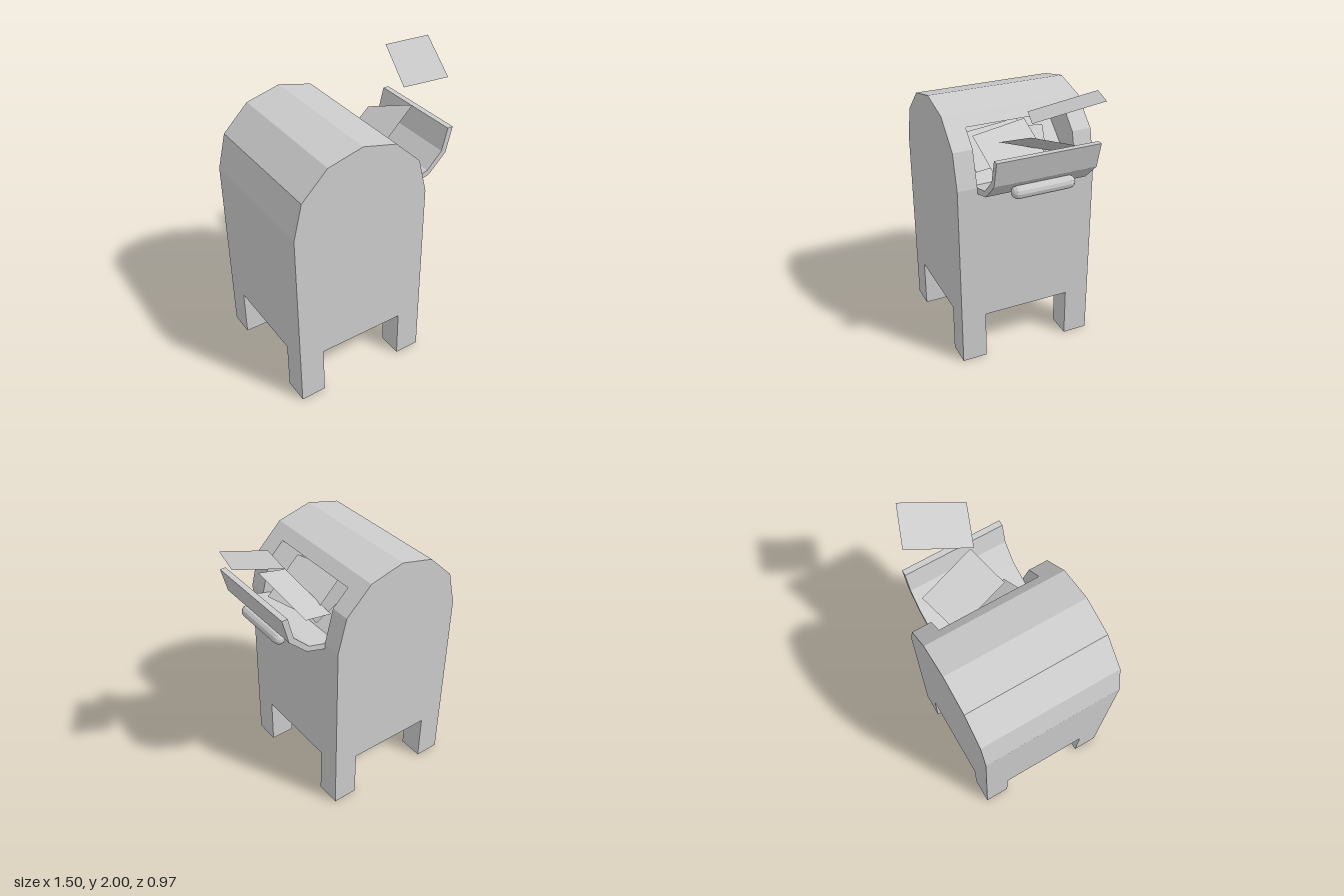
import * as THREE from 'three';

const grey = new THREE.MeshStandardMaterial({ color: 0xcccccc, flatShading: true });
const paper = new THREE.MeshStandardMaterial({ color: 0xcccccc, flatShading: true, side: THREE.DoubleSide });

function addMesh(parent, name, geometry, material = grey) {
  const mesh = new THREE.Mesh(geometry, material);
  mesh.name = name;
  parent.add(mesh);
  return mesh;
}

// Extrudes an x-y profile between two z positions
function slab(points, z0, z1) {
  const shape = new THREE.Shape(points.map(([x, y]) => new THREE.Vector2(x, y)));
  const geometry = new THREE.ExtrudeGeometry(shape, { depth: z1 - z0, bevelEnabled: false });
  return geometry.translate(0, 0, z0);
}

// Flat sheet from one corner and its two edge vectors
function sheet(corner, u, v) {
  const at = (s, t) => corner.map((c, i) => c + s * u[i] + t * v[i]);
  const geometry = new THREE.BufferGeometry();
  const corners = [...at(0, 0), ...at(1, 0), ...at(1, 1), ...at(0, 1)];
  geometry.setAttribute('position', new THREE.Float32BufferAttribute(corners, 3));
  geometry.setIndex([0, 1, 2, 0, 2, 3]);
  geometry.computeVertexNormals();
  return geometry;
}

export function createModel() {
  const model = new THREE.Group();
  model.name = 'mailbox';

  const halfDepth = 0.485, slotHalf = 0.35, baseY = 0.35;
  const left = -0.75, right = 0.21;

  // Arched body: solid ends, with the mail opening cut into the middle
  const arch = [
    [left, baseY], [left, 1.33], [-0.69, 1.57], [-0.51, 1.745], [-0.27, 1.805], [-0.03, 1.745],
  ];
  const solid = [...arch, [0.15, 1.57], [right, 1.33], [right, baseY]];
  const hollow = [...arch, [0.04, 1.677], [-0.3, 1.67], [0.125, 1.3], [right, 1.3], [right, baseY]];
  const body = new THREE.Group();
  body.name = 'body';
  model.add(body);
  addMesh(body, 'bodyFront', slab(solid, slotHalf, halfDepth));
  addMesh(body, 'bodyBack', slab(solid, -halfDepth, -slotHalf));
  addMesh(body, 'bodyMiddle', slab(hollow, -slotHalf, slotHalf));

  // Four square legs
  const legSize = 0.175;
  for (const x of [left + legSize / 2, right - legSize / 2]) {
    for (const side of [-1, 1]) {
      const leg = addMesh(model, 'leg', new THREE.BoxGeometry(legSize, baseY, legSize));
      leg.position.set(x, baseY / 2, side * (halfDepth - legSize / 2));
    }
  }

  // Open hatch, a folded plate
  const hatch = [
    [0.125, 1.27], [0.21, 1.29], [0.345, 1.33], [0.475, 1.455], [0.52, 1.63],
    [0.48, 1.63], [0.44, 1.475], [0.33, 1.365], [0.125, 1.308],
  ];
  addMesh(model, 'hatch', slab(hatch, -slotHalf, slotHalf));

  // Rounded grip on the outside of the hatch
  const grip = addMesh(model, 'hatchHandle', new THREE.CapsuleGeometry(0.043, 0.35, 4, 12));
  grip.rotation.x = Math.PI / 2;
  grip.position.set(0.435, 1.37, 0);

  // Letters: one flying, one tumbling in, the rest lying in the chute
  const letters = [
    [[0.335, 1.84, 0.065], [0.275, 0.04, 0.105], [0.14, 0.12, -0.395]],
    [[0.07, 1.425, -0.225], [0.075, 0.16, 0.395], [0.26, 0.115, -0.095]],
    [[0.25, 1.38, 0.23], [-0.28, 0.2, 0.05], [-0.07, 0.03, -0.4]],
    [[0.075, 1.37, 0.3], [-0.22, 0.19, 0.02], [-0.03, 0.03, -0.42]],
    [[0.1, 1.36, 0.15], [-0.22, 0.2, -0.06], [0.05, 0, -0.33]],
  ];
  for (const [corner, u, v] of letters) addMesh(model, 'letter', sheet(corner, u, v), paper);

  return model;
}
